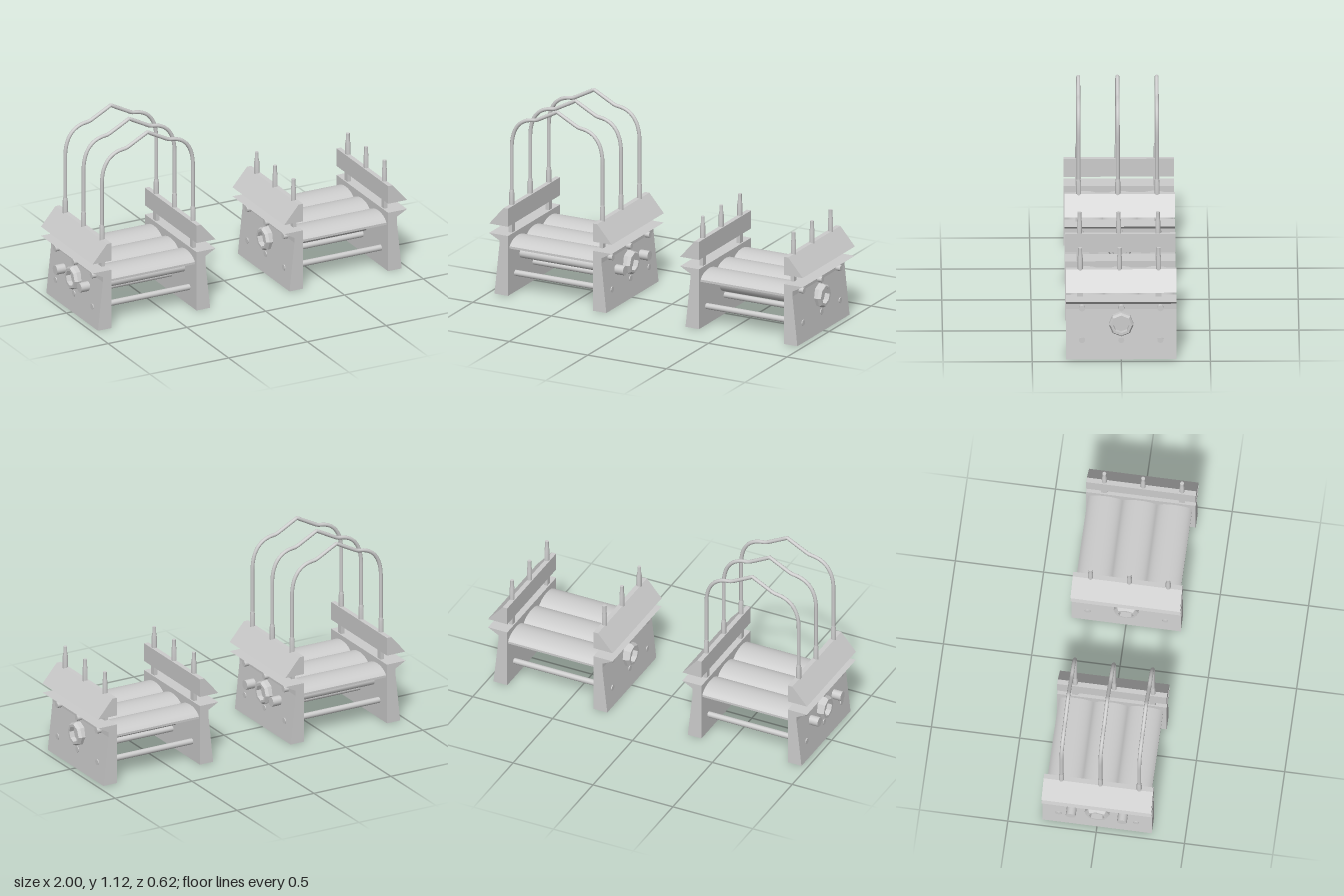
import * as THREE from 'three';
import { toCreasedNormals } from 'three/addons/utils/BufferGeometryUtils.js';

const smooth = new THREE.MeshStandardMaterial({ color: 0xcccccc });
const flat = new THREE.MeshStandardMaterial({ color: 0xcccccc, flatShading: true });
const HALF_DEPTH = 0.31;
const HOOP_Z = [0.23, 0.01, -0.21];
const POST_X = 0.289;

function add(parent, name, geometry, material, x = 0, y = 0, z = 0) {
  const mesh = new THREE.Mesh(geometry, material);
  mesh.name = name;
  mesh.position.set(x, y, z);
  parent.add(mesh);
  return mesh;
}

// Cross-section in x/y, run along the full depth; side = -1 mirrors it
function rail(points, side) {
  const shape = new THREE.Shape(points.map(([x, y]) => new THREE.Vector2(x * side, y)));
  return new THREE.ExtrudeGeometry(shape, { depth: HALF_DEPTH * 2, bevelEnabled: false })
    .translate(0, 0, -HALF_DEPTH);
}

// Rod lying along x
function rod(radius, length, sides) {
  return new THREE.CylinderGeometry(radius, radius, length, sides).rotateZ(Math.PI / 2);
}

// Slat with a gently domed top, lying along x
function slat() {
  const s = new THREE.Shape();
  s.moveTo(-0.1, 0.275);
  s.lineTo(0.1, 0.275);
  s.lineTo(0.1, 0.288);
  s.bezierCurveTo(0.065, 0.339, -0.065, 0.339, -0.1, 0.288);
  s.closePath();
  const g = new THREE.ExtrudeGeometry(s, { depth: 0.55, bevelEnabled: false, curveSegments: 16 });
  return toCreasedNormals(g.translate(0, 0, -0.275).rotateY(Math.PI / 2), 0.5);
}

// Upright legs, rounded shoulders and a pointed crown
function hoop() {
  const v = (x, y) => new THREE.Vector3(x, y, 0);
  const path = new THREE.CurvePath();
  for (const s of [-1, 1]) {
    const parts = [
      [v(s * POST_X, 0.58), v(s * POST_X, 0.85)],
      [v(s * POST_X, 0.85), v(s * POST_X, 0.96), v(s * 0.245, 1.03), v(s * 0.15, 1.037)],
      [v(s * 0.15, 1.037), v(s * 0.13, 1.039), v(s * 0.12, 1.047), v(s * 0.1, 1.057)],
      [v(s * 0.1, 1.057), v(0, 1.11)],
    ];
    if (s > 0) parts.reverse().forEach((p) => p.reverse());
    for (const p of parts) {
      path.add(p.length === 2 ? new THREE.LineCurve3(...p) : new THREE.CubicBezierCurve3(...p));
    }
  }
  return new THREE.TubeGeometry(path, 80, 0.011, 10);
}

function createStand(name, x, hasHoops) {
  const stand = new THREE.Group();
  stand.name = name;
  stand.position.x = x;

  for (const side of [-1, 1]) {
    const end = new THREE.Group();
    end.name = side > 0 ? 'leftEnd' : 'rightEnd';
    stand.add(end);

    // Tapered leg plate with an outward lip
    add(end, 'sidePlate', rail([[0.27, 0], [0.356, 0], [0.325, 0.29], [0.325, 0.32],
      [0.39, 0.355], [0.27, 0.355]], side), flat);
    // Wedge-shaped bar raised on two short posts
    add(end, 'clampBar', rail([[0.27, 0.41], [0.39, 0.41], [0.298, 0.517], [0.27, 0.517]], side), flat);
    for (const z of [HOOP_Z[0], HOOP_Z[2]]) {
      add(end, 'clampPost', new THREE.BoxGeometry(0.022, 0.08, 0.034), flat, side * POST_X, 0.383, z);
    }
    // Sockets, with short stubs where there is no hoop
    for (const z of HOOP_Z) {
      const profile = [[0, 0.5], [0.0145, 0.5], [0.0145, 0.585], [0.011, 0.605]];
      profile.push(...(hasHoops ? [[0, 0.605]] : [[0.011, 0.643], [0, 0.643]]));
      const g = new THREE.LatheGeometry(profile.map((p) => new THREE.Vector2(...p)), 12);
      add(end, 'hoopSocket', toCreasedNormals(g, 0.7), smooth, side * POST_X, 0, z);
    }
    // Recessed eight-sided hub
    const hub = [[0.07, 0.3], [0.07, 0.355], [0.06, 0.372], [0.045, 0.372], [0.045, 0.342], [0, 0.342]];
    const hubGeometry = new THREE.LatheGeometry(hub.map((p) => new THREE.Vector2(...p)), 8)
      .rotateZ(-side * Math.PI / 2);
    add(end, 'hub', hubGeometry, flat, 0, 0.207, 0);
  }

  // Central barrel and tie rods
  add(stand, 'barrel', rod(0.071, 0.6, 32), smooth, 0, 0.207, 0);
  for (const z of [-0.22, 0, 0.22]) {
    add(stand, 'upperTieRod', rod(0.017, 0.704, 16), smooth, 0, 0.302, z);
    add(stand, 'lowerTieRod', rod(0.017, 0.696, 16), smooth, 0, 0.111, z);
  }
  // Domed deck
  for (const z of [-0.2, -0.005, 0.19]) add(stand, 'deckSlat', slat(), smooth, 0, 0, z);

  if (hasHoops) {
    for (const z of HOOP_Z) add(stand, 'hoop', hoop(), smooth, 0, 0, z);
    for (const z of [-0.145, 0.145]) add(stand, 'sidePin', rod(0.028, 0.776, 16), smooth, 0, 0.207, z);
  }
  return stand;
}

export function createModel() {
  const model = new THREE.Group();
  model.name = 'pairOfStands';
  model.add(createStand('hoopedStand', -0.608, true));
  model.add(createStand('openStand', 0.608, false));
  return model;
}
